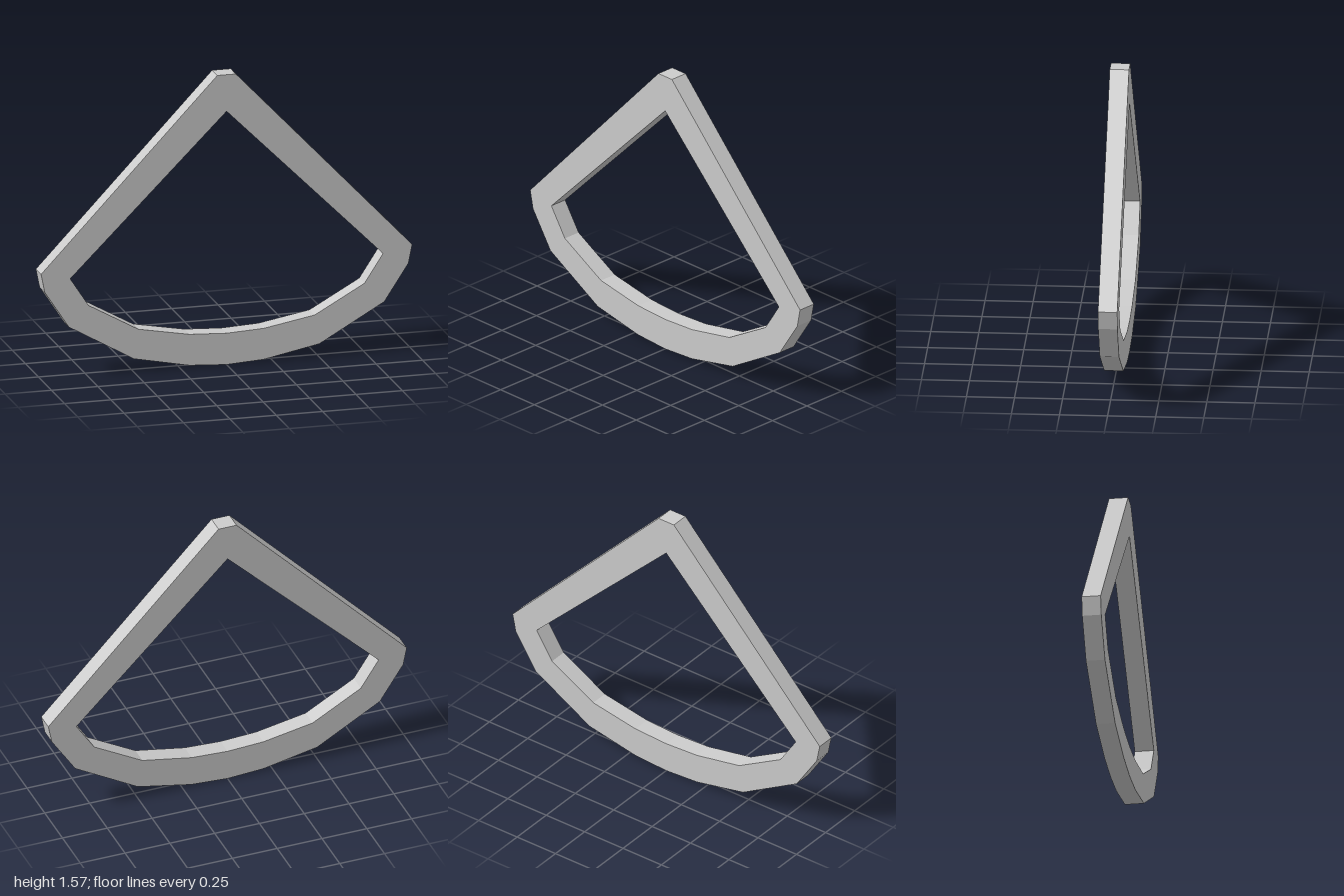
import * as THREE from 'three';

// Mirrors a right-hand half outline (listed from bottom to top) into a counter-clockwise loop.
function mirrorLoop(half) {
  const left = half.filter(([x]) => x > 0).map(([x, y]) => [-x, y]).reverse();
  return [...half, ...left].map(([x, y]) => new THREE.Vector2(x, y));
}

export function createModel() {
  const group = new THREE.Group();
  group.name = 'fanShapedFrame';
  const depth = 0.1;

  // Outer edge: faceted curved base, straight sloping side, blunt peak
  const outer = [
    [0, 0], [0.2, 0.012], [0.5, 0.072], [0.85, 0.272],
    [0.98, 0.47], [1, 0.57], [0.05, 1.57],
  ];
  // Opening: matching faceted base and a sharp peak
  const inner = [
    [0, 0.17], [0.2, 0.18], [0.475, 0.23],
    [0.743, 0.38], [0.843, 0.533], [0, 1.372],
  ];

  const shape = new THREE.Shape(mirrorLoop(outer));
  shape.holes.push(new THREE.Path(mirrorLoop(inner)));

  const geometry = new THREE.ExtrudeGeometry(shape, { depth, bevelEnabled: false });
  geometry.translate(0, 0, -depth / 2);

  const frame = new THREE.Mesh(
    geometry,
    new THREE.MeshStandardMaterial({ color: 0xcccccc, flatShading: true }),
  );
  frame.name = 'frame';
  group.add(frame);
  return group;
}
